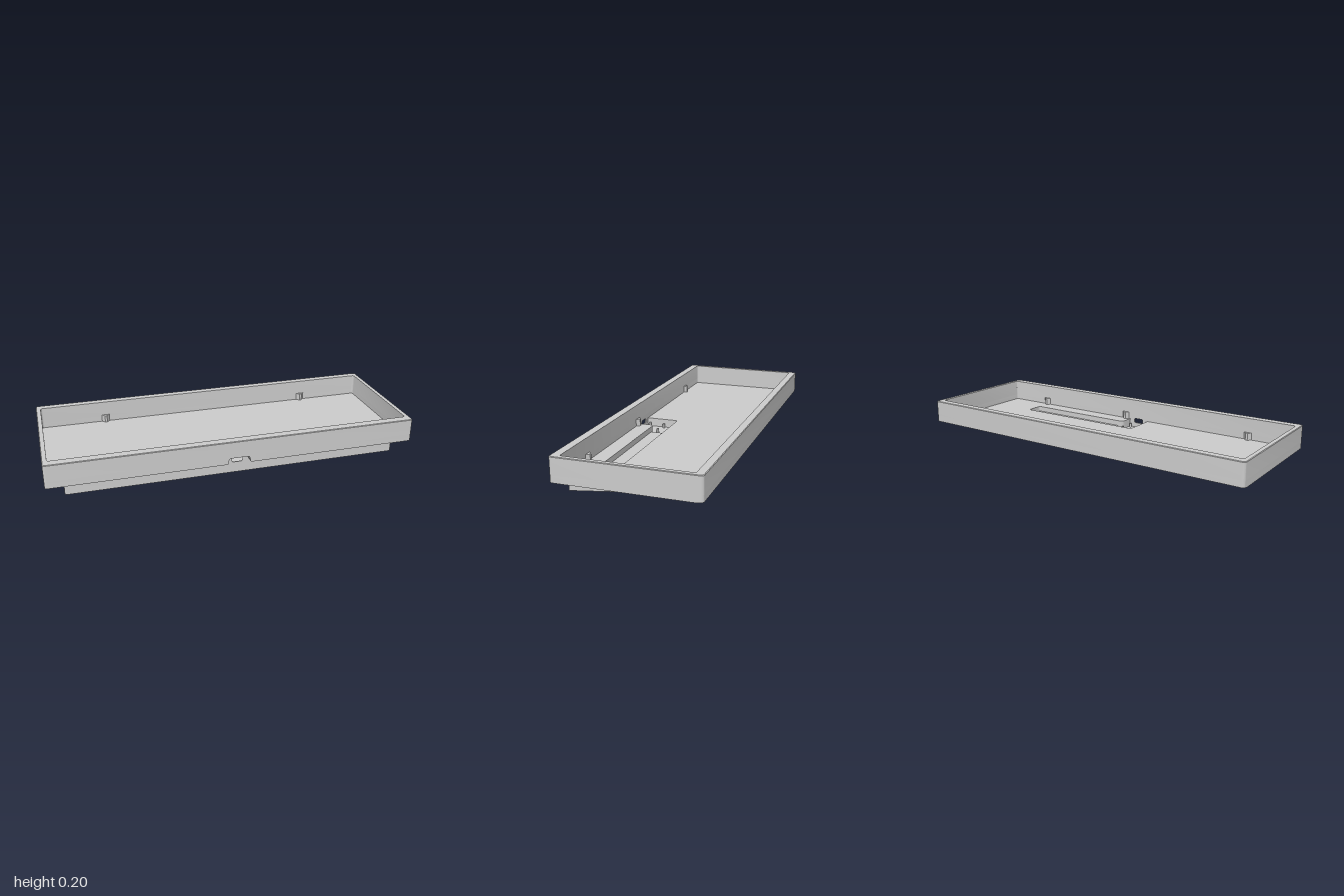
import * as THREE from 'three';
import { toCreasedNormals } from 'three/addons/utils/BufferGeometryUtils.js';

const material = new THREE.MeshStandardMaterial({ color: 0xcccccc });

const TOP = 0.2, NOTCH = 0.11, FLOOR = 0.08, BASE = 0.071; // main heights
const DEPTH = 0.372, CORNER = 0.015;                       // half depth and corner radius of the tray
const BACK = -0.33;                                        // where the underside meets the sloped plane
const slope = z => (0.33 - z) * 0.1075;                    // height of the sloped underside

// Closed outline from corners [a, b, radius], rounded where a radius is given
function outline(points, Type = THREE.Shape) {
  const path = new Type();
  const n = points.length;
  const v = points.map(p => new THREE.Vector2(p[0], p[1]));
  v.forEach((c, i) => {
    const r = points[i][2] || 0;
    const step = other => c.clone().add(other.clone().sub(c).setLength(r));
    const a = r ? step(v[(i + n - 1) % n]) : c;
    if (i === 0) path.moveTo(a.x, a.y); else path.lineTo(a.x, a.y);
    if (r) {
      const b = step(v[(i + 1) % n]);
      path.quadraticCurveTo(c.x, c.y, b.x, b.y);
    }
  });
  path.closePath();
  return path;
}

const rect = (x0, x1, z0, z1, r = 0) => [[x0, z0, r], [x1, z0, r], [x1, z1, r], [x0, z1, r]];
const circle = (x, z, r) => Array.from({ length: 24 }, (_, i) => {
  const t = i / 24 * Math.PI * 2;
  return [x + r * Math.cos(t), z + r * Math.sin(t)];
});

// Plan outline in x, z raised from y0 to y1; y0 may be a function of z
function raise(points, holes, y0, y1, move) {
  // Mirroring z turns the winding, so the order is reversed to keep it counter-clockwise
  const flip = pts => pts.map(([x, z, r]) => [x, -z, r]).reverse();
  const shape = outline(flip(points));
  shape.holes = holes.map(h => outline(flip(h), THREE.Path));
  const geo = new THREE.ExtrudeGeometry(shape, { depth: 1, bevelEnabled: false, curveSegments: 5 });
  geo.rotateX(-Math.PI / 2);
  const p = geo.attributes.position;
  for (let i = 0; i < p.count; i++) {
    const top = p.getY(i) > 0.5;
    p.setY(i, top ? y1 : typeof y0 === 'function' ? y0(p.getZ(i)) : y0);
    if (top && move) move(p, i);
  }
  return toCreasedNormals(geo, 0.5);
}

// Front outline in x, y with thickness from z0 to z1
function panel(points, holes, z0, z1) {
  const shape = outline(points);
  shape.holes = holes.map(h => outline(h, THREE.Path));
  const geo = new THREE.ExtrudeGeometry(shape, { depth: z1 - z0, bevelEnabled: false, curveSegments: 5 });
  geo.translate(0, 0, z0);
  return toCreasedNormals(geo, 0.5);
}

export function createModel() {
  const group = new THREE.Group();
  const add = (name, geo) => {
    const mesh = new THREE.Mesh(geo, material);
    mesh.name = name;
    group.add(mesh);
  };

  const outer = rect(-1, 1, -DEPTH, DEPTH, CORNER);
  const inner = rect(-0.975, 0.975, -0.33, 0.325, 0.012);

  // Upper walls and a slightly bevelled rim
  add('upperWalls', raise(outer, [inner], NOTCH, TOP - 0.003));
  add('rim', raise(outer, [inner], TOP - 0.003, TOP, (p, i) => {
    const x = p.getX(i), z = p.getZ(i);
    if (Math.abs(x) > 0.98) p.setX(i, x - Math.sign(x) * 0.003);
    if (Math.abs(z) > 0.345) p.setZ(i, z - Math.sign(z) * 0.003);
  }));

  // Lower walls, open at the front for the port
  add('lowerWalls', raise([
    [0.1, DEPTH], [1, DEPTH, CORNER], [1, -DEPTH, CORNER], [-1, -DEPTH, CORNER], [-1, DEPTH, CORNER],
    [-0.1, DEPTH], [-0.1, 0.325], [-0.975, 0.325, 0.012], [-0.975, -0.33, 0.012], [0.975, -0.33, 0.012],
    [0.975, 0.325, 0.012], [0.1, 0.325],
  ], [], FLOOR, NOTCH));

  // Arched plug recess in the front wall, with the port opening behind it
  add('plugRecess', panel([
    [-0.1, BASE], [-0.062, BASE, 0.006], [-0.055, 0.105, 0.012], [0.055, 0.105, 0.012],
    [0.062, BASE, 0.006], [0.1, BASE], [0.1, NOTCH], [-0.1, NOTCH],
  ], [], 0.33, DEPTH));
  add('portPanel', panel(
    [[-0.1, 0.002], [0.1, 0.002], [0.1, NOTCH], [-0.1, NOTCH]],
    [rect(-0.03, 0.03, 0.06, 0.086, 0.012)], 0.325, 0.33));

  // Controller pocket opening forward, joined to a long cable slot
  const pocketEdge = [
    [0.06, 0.33], [0.06, 0.24, 0.025], [0.71, 0.24, 0.015], [0.71, 0.14, 0.015],
    [-0.063, 0.14, 0.015], [-0.063, 0.33],
  ];

  // Floor plate: flat part, then the back strip cut by the sloped plane
  add('floorPlate', raise([
    [1, BACK], [1, DEPTH, CORNER], [0.1, DEPTH], [0.1, 0.33], ...pocketEdge,
    [-0.1, 0.33], [-0.1, DEPTH], [-1, DEPTH, CORNER], [-1, BACK],
  ], [], BASE, FLOOR));
  add('floorBackStrip', raise(
    [[-1, BACK], [1, BACK], [1, -DEPTH, CORNER], [-1, -DEPTH, CORNER]], [], slope, FLOOR));

  // Sloped base with shallow round recesses for feet
  const feet = [-0.85, 0.85].flatMap(x => [-0.29, 0.28].map(z => circle(x, z, 0.035)));
  add('wedgeBase', raise([
    [0.905, BACK], [0.905, 0.33, 0.01], ...pocketEdge, [-0.905, 0.33, 0.01], [-0.905, BACK],
  ], feet, slope, BASE + 0.0005));
  feet.forEach(f => add('footRecess', raise(f, [], z => slope(z) + 0.004, 0.076)));

  // Pocket and slot floors
  add('pocketFloor', raise(rect(-0.08, 0.095, 0.13, 0.33), [], slope, 0.033));
  add('slotFloor', raise(rect(0.095, 0.725, 0.13, 0.25), [], slope, 0.05));

  // Pegs holding the controller board
  for (const x of [-0.05, 0.045]) for (const z of [0.22, 0.305]) {
    const peg = new THREE.CylinderGeometry(0.007, 0.007, 0.025, 16);
    peg.translate(x, 0.044, z);
    add('boardPeg', peg);
  }

  // Tapered clips along the inner walls: [x, wall z, inward direction]
  const clips = [[-0.61, -0.33, 1], [0.61, -0.33, 1], [-0.71, 0.325, -1], [0.09, 0.325, -1], [0.71, 0.325, -1]];
  for (const [x, z, d] of clips) {
    add('wallClip', raise([
      [x - 0.022, z], [x - 0.006, z + d * 0.018], [x + 0.006, z + d * 0.018], [x + 0.022, z],
    ], [], FLOOR, 0.12));
  }
  return group;
}
